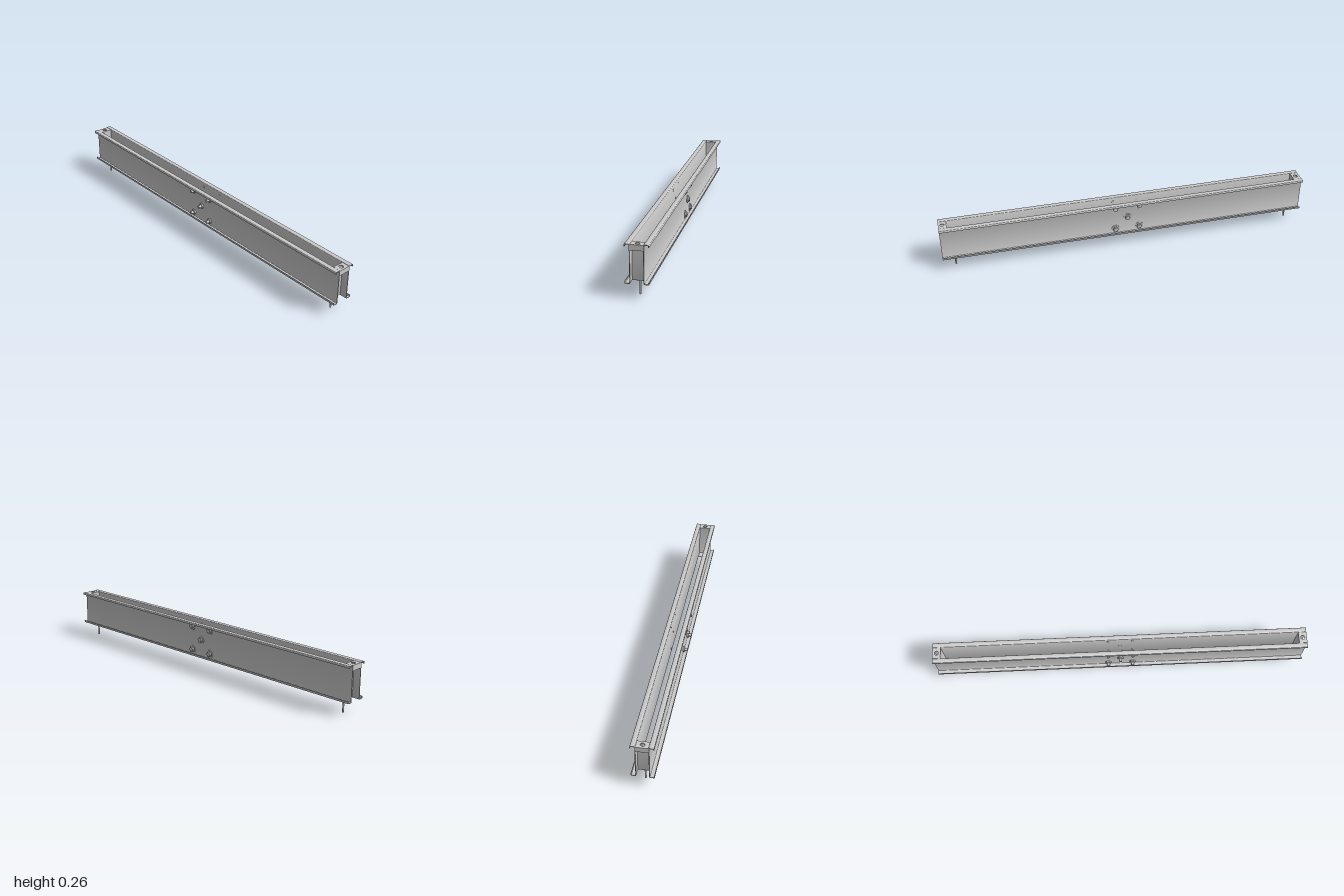
import * as THREE from 'three';
import { toCreasedNormals } from 'three/addons/utils/BufferGeometryUtils.js';

const material = new THREE.MeshStandardMaterial({ color: 0xcccccc });
const T = 0.0035;          // sheet thickness
const INNER = 0.0305;      // half the gap between the channels

function mesh(name, geometry) {
  const m = new THREE.Mesh(geometry, material);
  m.name = name;
  return m;
}

// Bent sheet section: thickens a centre line and rounds its bends.
function sheetShape(points, bend) {
  const p = points.map(([x, y]) => new THREE.Vector2(x, y));
  const normal = (a, b) => {
    const d = b.clone().sub(a).normalize();
    return new THREE.Vector2(-d.y, d.x);
  };
  const side = (s) => p.map((v, i) => {
    const n0 = i > 0 ? normal(p[i - 1], v) : null;
    const n1 = i < p.length - 1 ? normal(v, p[i + 1]) : null;
    const off = n0 && n1 ? n0.clone().add(n1).divideScalar(1 + n0.dot(n1)) : (n0 || n1).clone();
    // the outside of a bend gets the larger radius
    const r = n0 && n1 ? bend - s * Math.sign(n0.cross(n1)) * T / 2 : 0;
    return { v: v.clone().addScaledVector(off, s * T / 2), r };
  });
  const loop = [...side(1), ...side(-1).reverse()];
  const shape = new THREE.Shape();
  loop.forEach(({ v, r }, i) => {
    const prev = loop[(i + loop.length - 1) % loop.length].v;
    const next = loop[(i + 1) % loop.length].v;
    const a = v.clone().addScaledVector(prev.clone().sub(v).normalize(), r);
    const b = v.clone().addScaledVector(next.clone().sub(v).normalize(), r);
    if (i === 0) shape.moveTo(a.x, a.y);
    else shape.lineTo(a.x, a.y);
    if (r > 0) shape.quadraticCurveTo(v.x, v.y, b.x, b.y);
  });
  shape.closePath();
  return shape;
}

function extrude(shape, depth, curveSegments = 5) {
  const g = new THREE.ExtrudeGeometry(shape, { depth, bevelEnabled: false, curveSegments });
  g.translate(0, 0, -depth / 2);
  return toCreasedNormals(g, 0.6);
}

// Lipped channel with its web towards the middle and flanges outwards
function channel(name) {
  const w = INNER + T / 2, tip = 0.057 - T / 2;
  const top = 0.262 - T / 2, low = 0.073 + T / 2;
  return mesh(name, extrude(sheetShape([
    [tip, top - 0.011], [tip, top], [w, top],
    [w, low], [tip, low], [tip, low + 0.011],
  ], 0.004), 2));
}

// Bracket closing the gap at the +z end, with a pin below
function endBracket(name) {
  const g = new THREE.Group();
  g.name = name;
  const width = INNER * 2;

  const step = extrude(sheetShape([[0.959, 0.257], [0.959, 0.077], [0.909, 0.077]], 0.003), width);
  step.rotateY(-Math.PI / 2);
  g.add(mesh('bracketPlate', step));

  const tab = new THREE.Shape();
  tab.moveTo(-INNER, 0.957);
  tab.lineTo(INNER, 0.957);
  tab.lineTo(INNER, 1);
  tab.lineTo(-INNER, 1);
  tab.closePath();
  tab.holes.push(new THREE.Path().absarc(0, 0.978, 0.011, 0, Math.PI * 2, true));
  const tabGeometry = extrude(tab, T, 12);
  tabGeometry.rotateX(Math.PI / 2);
  tabGeometry.translate(0, 0.26 - T / 2, 0);
  g.add(mesh('topTab', tabGeometry));

  const lip = mesh('tabLip', new THREE.BoxGeometry(width, 0.0245, T));
  lip.position.set(0, 0.2445, 1 - T / 2);
  g.add(lip);

  const pin = mesh('pin', new THREE.CylinderGeometry(0.0045, 0.0045, 0.08, 16));
  pin.position.set(0, 0.04, 0.933);
  g.add(pin);
  return g;
}

// Cylinder or hexagon lying along x, from x0 to x1
function along(name, r, x0, x1, sides, rEnd = r) {
  const geo = new THREE.CylinderGeometry(rEnd, r, x1 - x0, sides);
  geo.rotateZ(-Math.PI / 2);
  const m = mesh(name, sides === 6 ? toCreasedNormals(geo, 0.5) : geo);
  m.position.x = (x0 + x1) / 2;
  return m;
}

// Hex head with washer on the left web
function boltHead() {
  const g = new THREE.Group();
  g.name = 'boltHead';
  g.add(along('headWasher', 0.0225, 0.033, 0.0365, 24));
  g.add(along('hexHead', 0.015, 0.0365, 0.044, 6));
  g.add(along('headCrown', 0.0125, 0.044, 0.046, 20, 0.011));
  g.add(along('shankEnd', 0.008, 0.0295, 0.034, 16));
  return g;
}

// Nut with projecting thread end on the right web
function boltNut() {
  const g = new THREE.Group();
  g.name = 'boltNut';
  g.add(along('nutBody', 0.0155, -0.042, -0.033, 6));
  g.add(along('nutCrown', 0.0115, -0.044, -0.042, 20, 0.013));
  g.add(along('threadEnd', 0.008, -0.059, -0.0295, 16));
  g.add(along('threadTip', 0.007, -0.06, -0.059, 16, 0.008));
  return g;
}

export function createModel() {
  const model = new THREE.Group();
  model.name = 'doubleChannelBeam';

  const left = channel('leftChannel');
  const right = channel('rightChannel');
  right.rotation.y = Math.PI;
  model.add(left, right);

  const front = endBracket('frontBracket');
  const back = endBracket('backBracket');
  back.rotation.y = Math.PI;
  model.add(front, back);

  // Five bolts: four corners and one in the middle
  for (const [y, z] of [[0.235, 0.066], [0.235, -0.066], [0.168, 0], [0.102, 0.066], [0.102, -0.066]]) {
    for (const part of [boltHead(), boltNut()]) {
      part.position.set(0, y, z);
      model.add(part);
    }
  }
  return model;
}
